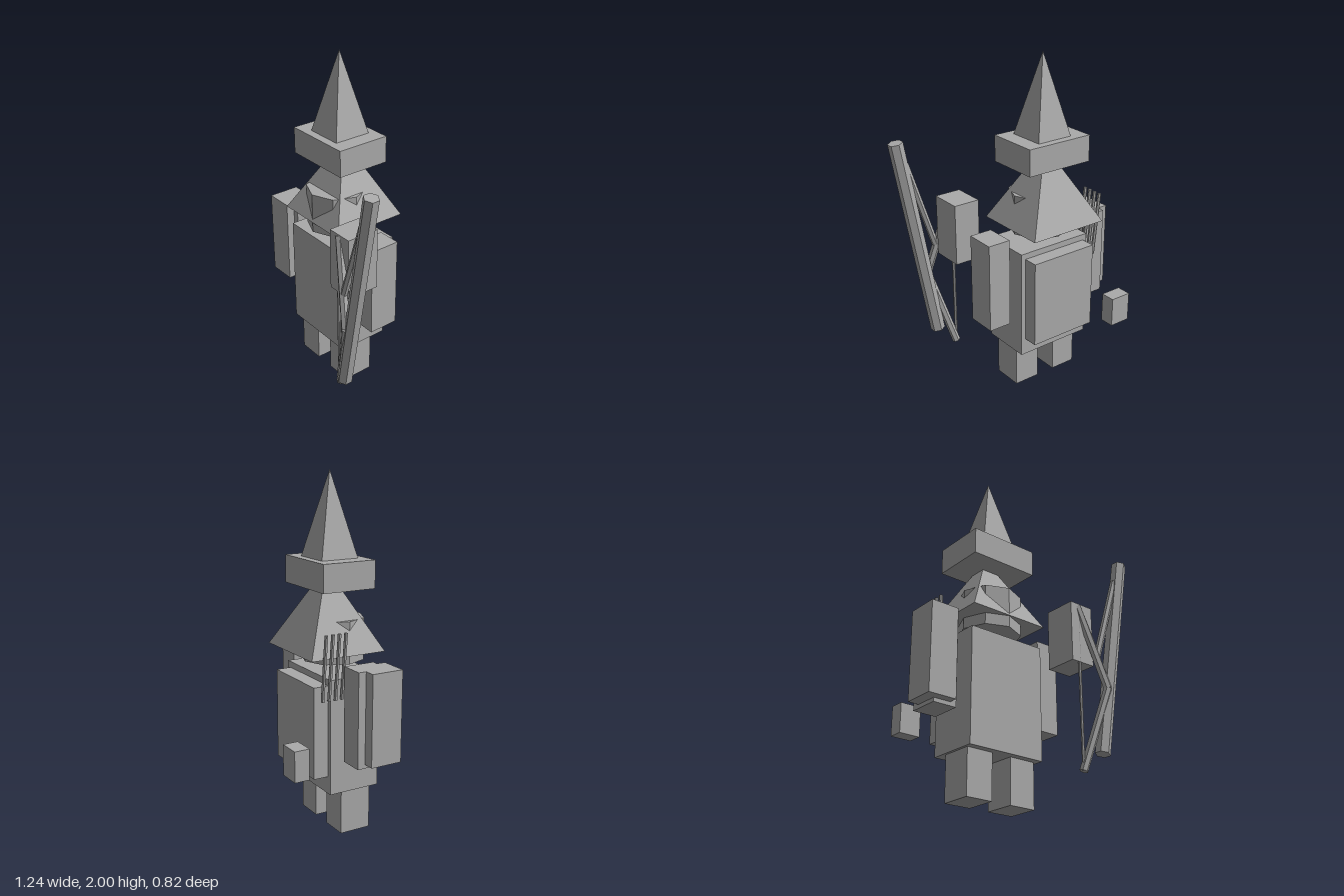
import * as THREE from 'three';

export function createModel() {
  const model = new THREE.Group();
  const grey = new THREE.MeshStandardMaterial({ color: 0xaaaaaa, flatShading: true });
  grey.name = 'plain grey';

  function add(name, geometry) {
    const mesh = new THREE.Mesh(geometry, grey);
    mesh.name = name;
    model.add(mesh);
    return mesh;
  }

  // box given by its limits on each axis
  function box(name, x0, x1, y0, y1, z0, z1) {
    add(name, new THREE.BoxGeometry(x1 - x0, y1 - y0, z1 - z0))
      .position.set((x0 + x1) / 2, (y0 + y1) / 2, (z0 + z1) / 2);
  }

  // square pyramid given by the limits of its base and its tip height
  function pyramid(name, x0, x1, y0, y1, z0, z1) {
    const g = new THREE.ConeGeometry(Math.SQRT1_2, 1, 4).rotateY(Math.PI / 4);
    g.scale(x1 - x0, y1 - y0, z1 - z0);
    add(name, g).position.set((x0 + x1) / 2, (y0 + y1) / 2, (z0 + z1) / 2);
  }

  // straight rod between two points
  function rod(name, from, to, radius, sides = 6) {
    const a = new THREE.Vector3(...from), b = new THREE.Vector3(...to);
    const dir = b.clone().sub(a);
    const mesh = add(name, new THREE.CylinderGeometry(radius, radius, dir.length(), sides));
    mesh.position.copy(a).add(b).multiplyScalar(0.5);
    mesh.quaternion.setFromUnitVectors(new THREE.Vector3(0, 1, 0), dir.normalize());
  }

  // legs and body
  box('rightLeg', -0.36, -0.2, 0, 0.255, -0.062, 0.123);
  box('leftLeg', -0.08, 0.08, 0, 0.255, -0.062, 0.123);
  box('body', -0.375, 0.103, 0.255, 0.91, -0.142, 0.165);
  box('backpack', -0.35, 0.075, 0.355, 0.875, -0.23, -0.142);
  box('pouch', -0.478, -0.35, 0.422, 0.595, -0.418, -0.33);

  // arms
  box('rightArm', -0.558, -0.418, 0.455, 0.99, -0.083, 0.098);
  box('rightSleeve', -0.622, -0.455, 0.477, 0.99, -0.038, 0.148);
  box('leftArm', 0.142, 0.282, 0.455, 0.99, -0.083, 0.098);
  box('leftForearm', 0.202, 0.36, 0.82, 1.18, 0.128, 0.323);

  // head, hood and hat
  add('head', new THREE.CylinderGeometry(0.178, 0.178, 0.237, 8)).position.set(-0.14, 1.083, 0.01);
  pyramid('hood', -0.385, 0.105, 1.03, 1.475, -0.263, 0.195);
  box('hatBrim', -0.35, 0.07, 1.375, 1.53, -0.172, 0.148);
  pyramid('hatPoint', -0.252, -0.026, 1.53, 2, -0.125, 0.1);

  // arrows on the back
  for (let i = 0; i < 4; i++) {
    const z = -0.195 + i * 0.04;
    rod('arrow', [-0.418, 1.17, z], [-0.38, 0.8, z], 0.011);
  }

  // staff with its side branch
  rod('staff', [0.365, 0.3, 0.358], [0.58, 1.53, 0.358], 0.043);
  rod('staffBranch', [0.36, 0.87, 0.355], [0.53, 1.4, 0.355], 0.02);

  // bow
  const grip = [0.405, 0.68, 0.382];
  rod('bowUpperLimb', grip, [0.265, 1.165, 0.31], 0.024);
  rod('bowLowerLimb', grip, [0.265, 0.2, 0.31], 0.024);
  rod('bowString', [0.262, 0.2, 0.315], [0.262, 1.165, 0.315], 0.009);

  return model;
}
